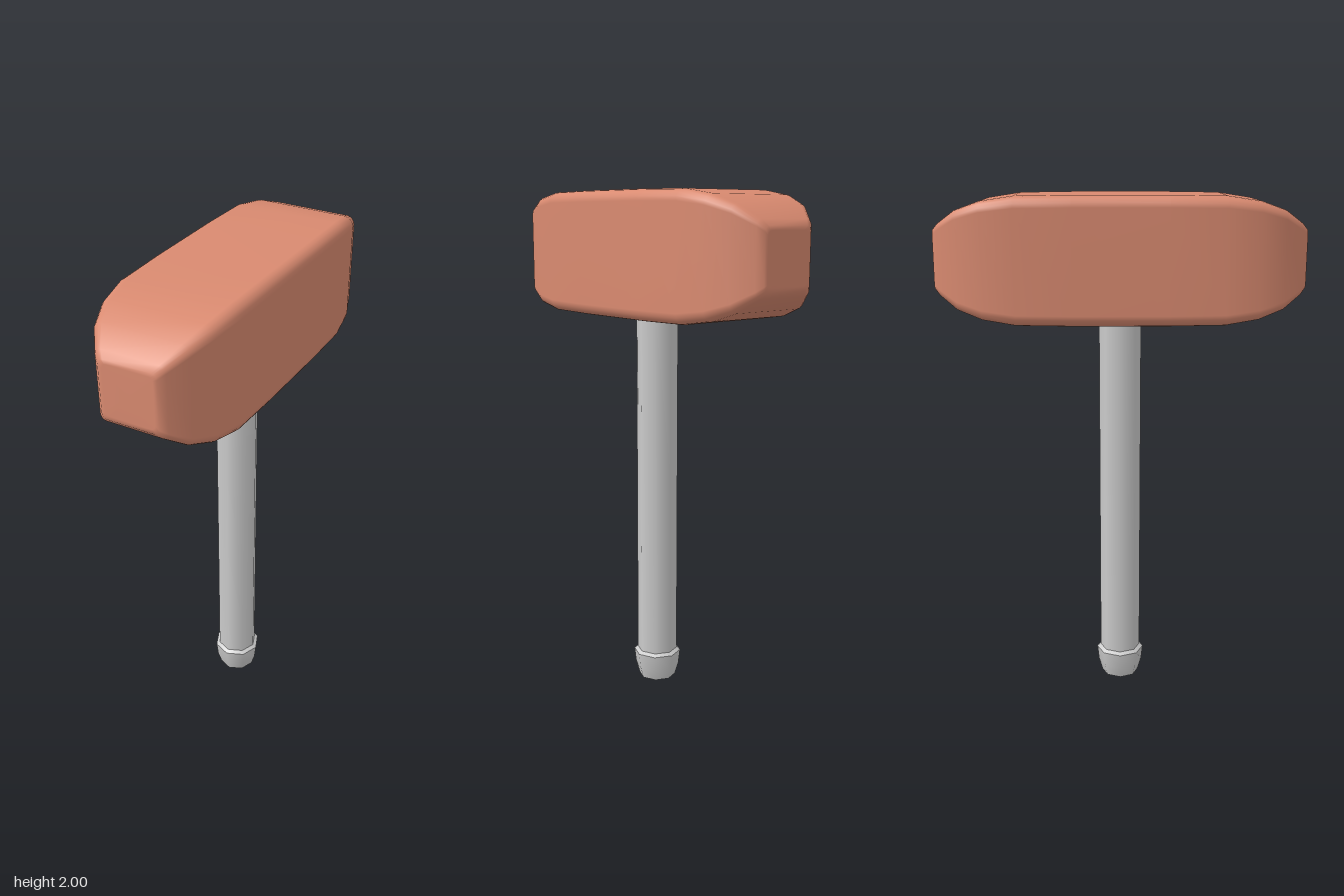
import * as THREE from 'three';

// Rounded-square outline, counter-clockwise in the xy plane
function roundedSquare(half, radius, steps = 4) {
  const points = [];
  for (let corner = 0; corner < 4; corner++) {
    const mid = Math.PI / 4 + corner * Math.PI / 2;
    const cx = Math.sign(Math.cos(mid)) * (half - radius);
    const cy = Math.sign(Math.sin(mid)) * (half - radius);
    for (let s = 0; s <= steps; s++) {
      const a = corner * Math.PI / 2 + (s / steps) * Math.PI / 2;
      points.push([cx + radius * Math.cos(a), cy + radius * Math.sin(a)]);
    }
  }
  return points;
}

// Head: rounded squares swept along z, closed at both ends
function headGeometry() {
  const quarter = [[0.7, 0.095], [0.7, 0.11], [0.68, 0.132], [0.61, 0.182], [0.515, 0.216], [0.39, 0.235], [0.18, 0.238]];
  const sections = [
    ...quarter.map(([z, h]) => [-z, h]),
    ...quarter.slice().reverse(),
  ];
  const positions = [], index = [];
  let n = 0;
  for (const [z, half] of sections) {
    const ring = roundedSquare(half, half * 0.18);
    n = ring.length;
    for (const [x, y] of ring) positions.push(x, y, z);
  }
  for (let k = 0; k < sections.length - 1; k++) {
    for (let i = 0; i < n; i++) {
      const a = k * n + i, b = k * n + (i + 1) % n;
      index.push(a, b, b + n, a, b + n, a + n);
    }
  }
  const back = positions.length / 3, front = back + 1;
  const last = (sections.length - 1) * n;
  positions.push(0, 0, -0.702, 0, 0, 0.702);
  for (let i = 0; i < n; i++) {
    const j = (i + 1) % n;
    index.push(back, j, i, front, last + i, last + j);
  }
  const geometry = new THREE.BufferGeometry();
  geometry.setAttribute('position', new THREE.Float32BufferAttribute(positions, 3));
  geometry.setIndex(index);
  geometry.computeVertexNormals();
  return geometry;
}

export function createModel() {
  const model = new THREE.Group();
  model.name = 'mallet';
  const clay = new THREE.MeshStandardMaterial({ color: 0xd98a70 });
  const grey = new THREE.MeshStandardMaterial({ color: 0xcccccc });

  const add = (name, geometry, material, parent = model) => {
    const mesh = new THREE.Mesh(geometry, material);
    mesh.name = name;
    parent.add(mesh);
    return mesh;
  };
  const lathe = (points) => new THREE.LatheGeometry(points.map(([r, y]) => new THREE.Vector2(r, y)), 8);

  add('head', headGeometry(), clay).position.y = 1.762;

  // Handle running up into the head
  add('handle', lathe([[0.082, 0.1], [0.082, 1.6]]), grey);

  // Flared end grip, in separate bands so its rims stay sharp
  const grip = new THREE.Group();
  grip.name = 'endGrip';
  model.add(grip);
  add('gripBase', lathe([[0, 0], [0.075, 0]]), grey, grip);
  add('gripSide', lathe([[0.075, 0], [0.09, 0.05], [0.097, 0.11]]), grey, grip);
  add('gripRim', lathe([[0.097, 0.11], [0.08, 0.122]]), grey, grip);

  return model;
}
